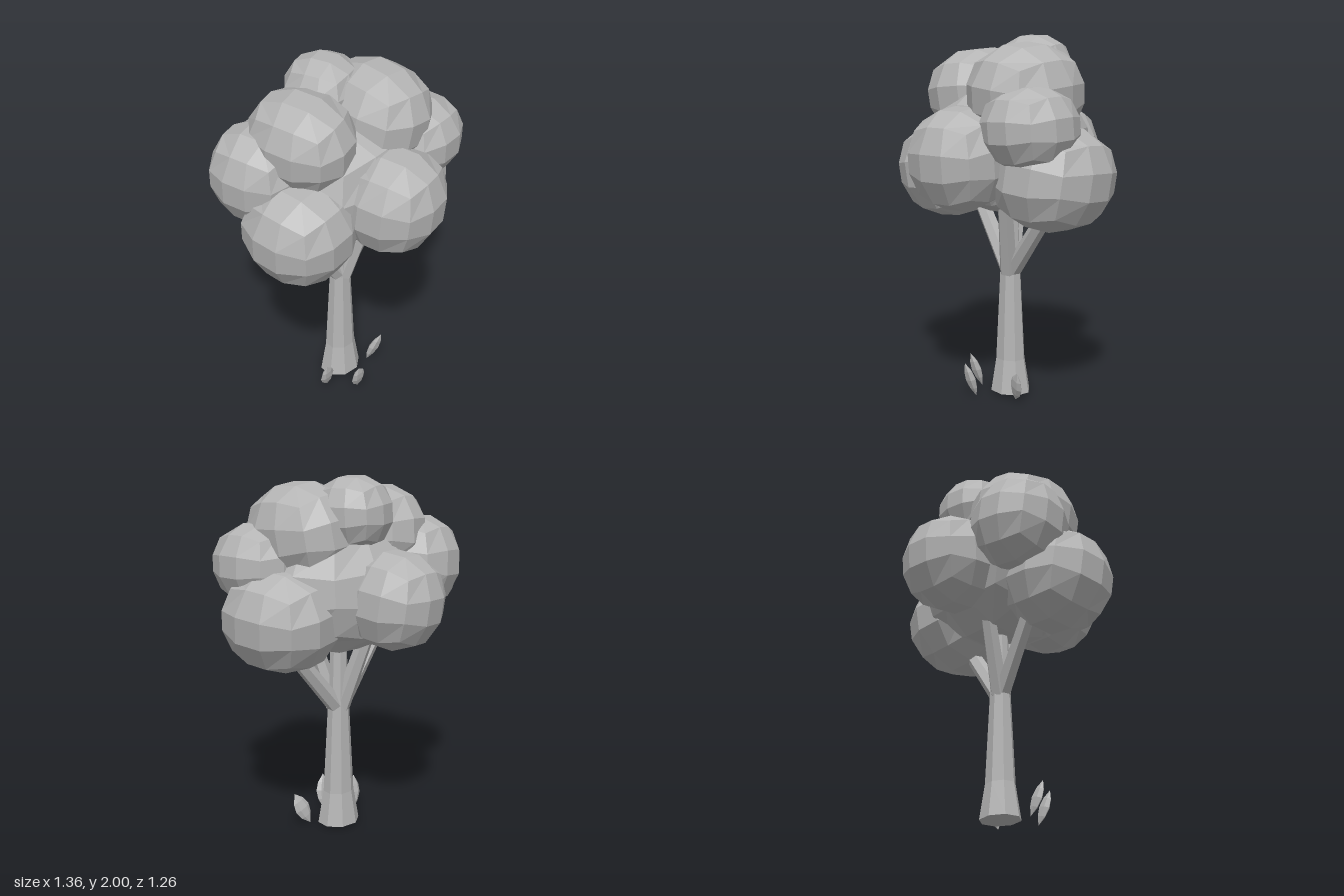
import * as THREE from 'three';

const grey = new THREE.MeshStandardMaterial({ color: 0xb4b4b4, flatShading: true });
grey.name = 'plain grey';
const UP = new THREE.Vector3(0, 1, 0);

// Slightly boxy faceted ball made from a gridded cube, turned first and then stretched
function foliageGeometry(radii, turn) {
  const geo = new THREE.BoxGeometry(2, 2, 2, 3, 3, 3);
  const pos = geo.attributes.position;
  const v = new THREE.Vector3();
  const even = (t) => Math.tan((t * Math.PI) / 4);
  const power = 2.25;
  for (let i = 0; i < pos.count; i++) {
    v.fromBufferAttribute(pos, i);
    v.set(even(v.x), even(v.y), even(v.z));
    const sum = v.toArray().reduce((s, c) => s + Math.abs(c) ** power, 0);
    v.multiplyScalar(sum ** (-1 / power));
    pos.setXYZ(i, v.x, v.y, v.z);
  }
  geo.rotateX(turn[0]).rotateY(turn[1]).rotateZ(turn[2]);
  // Fit the ball exactly into its radii
  geo.computeBoundingBox();
  const { max } = geo.boundingBox;
  geo.scale(radii[0] / max.x, radii[1] / max.y, radii[2] / max.z);
  geo.computeVertexNormals();
  return geo;
}

// Places a y-axis geometry, centred on its own middle, between two points
function between(geo, from, to, name) {
  const a = new THREE.Vector3(...from), b = new THREE.Vector3(...to);
  const mesh = new THREE.Mesh(geo, grey);
  mesh.position.copy(a).add(b).multiplyScalar(0.5);
  mesh.quaternion.setFromUnitVectors(UP, b.clone().sub(a).normalize());
  mesh.name = name;
  return mesh;
}

export function createModel() {
  const tree = new THREE.Group();
  tree.name = 'tree';

  // Crown: centre, radii, turn
  const crown = new THREE.Group();
  crown.name = 'crown';
  const clumps = [
    ['coreFoliage', [0, 1.4, 0], [0.46, 0.36, 0.395], [0.1, 0.15, 0.05]],
    ['frontFoliage', [0.05, 1.365, 0.36], [0.28, 0.27, 0.27], [0.1, 0.3, 0]],
    ['backFoliage', [-0.09, 1.365, -0.36], [0.26, 0.26, 0.27], [-0.1, 0.25, 0.05]],
    ['lowerRightFoliage', [-0.385, 1.26, 0.12], [0.29, 0.28, 0.3], [0.1, 0.15, 0.1]],
    ['lowerLeftFoliage', [0.38, 1.27, 0], [0.3, 0.28, 0.335], [-0.1, 0.25, -0.1]],
    ['backRightFoliage', [-0.425, 1.5, -0.14], [0.255, 0.26, 0.26], [0.1, 0.3, 0.1]],
    ['upperLeftSideFoliage', [0.39, 1.54, 0.17], [0.245, 0.215, 0.25], [0.05, 0.15, 0.05]],
    ['upperRightFoliage', [-0.26, 1.68, 0], [0.255, 0.25, 0.31], [0.1, 0.3, 0.1]],
    ['upperLeftFoliage', [0.2, 1.7, 0.05], [0.27, 0.27, 0.32], [0.1, 0.1, -0.1]],
    ['topFoliage', [0.02, 1.81, -0.15], [0.205, 0.19, 0.21], [0.05, 0.4, 0]],
  ];
  for (const [name, centre, radii, turn] of clumps) {
    const mesh = new THREE.Mesh(foliageGeometry(radii, turn), grey);
    mesh.position.set(...centre);
    mesh.name = name;
    crown.add(mesh);
  }
  tree.add(crown);

  // Trunk flaring at the foot and running up into the crown
  const profile = [[0, 0.01], [0.125, 0.01], [0.092, 0.2], [0.065, 0.7], [0.042, 1.2], [0, 1.2]]
    .map(([r, y]) => new THREE.Vector2(r, y));
  const trunk = new THREE.Mesh(new THREE.LatheGeometry(profile, 8, Math.PI / 8), grey);
  trunk.scale.z = 0.86;
  trunk.name = 'trunk';
  tree.add(trunk);

  // Branches forking from the trunk top
  const branches = [
    ['rightBranch', [-0.01, 0.7, 0], [-0.31, 1.13, 0.01]],
    ['leftBranch', [0.01, 0.7, 0], [0.36, 1.12, 0]],
    ['frontBranch', [0.01, 0.7, 0.02], [0.12, 1.18, 0.13]],
    ['backBranch', [-0.01, 0.7, -0.01], [-0.1, 1.18, -0.15]],
  ];
  for (const [name, from, to] of branches) {
    const length = new THREE.Vector3(...from).distanceTo(new THREE.Vector3(...to));
    tree.add(between(new THREE.CylinderGeometry(0.042, 0.05, length, 6), from, to, name));
  }

  // Flat pointed leaves sprouting round the foot
  const leafProfile = [[0, -0.1], [0.035, -0.05], [0.049, 0], [0.037, 0.05], [0, 0.1]]
    .map(([r, y]) => new THREE.Vector2(r, y));
  const leaves = [
    [[-0.17, 0, 0.075], [-0.215, 0.19, 0.125]],
    [[-0.045, 0, 0.205], [-0.085, 0.19, 0.255]],
    [[0.145, 0, 0.075], [0.225, 0.19, 0.125]],
  ];
  for (const [from, to] of leaves) {
    const geo = new THREE.LatheGeometry(leafProfile, 6, Math.PI / 6).scale(1, 1, 0.4);
    tree.add(between(geo, from, to, 'groundLeaf'));
  }
  return tree;
}
